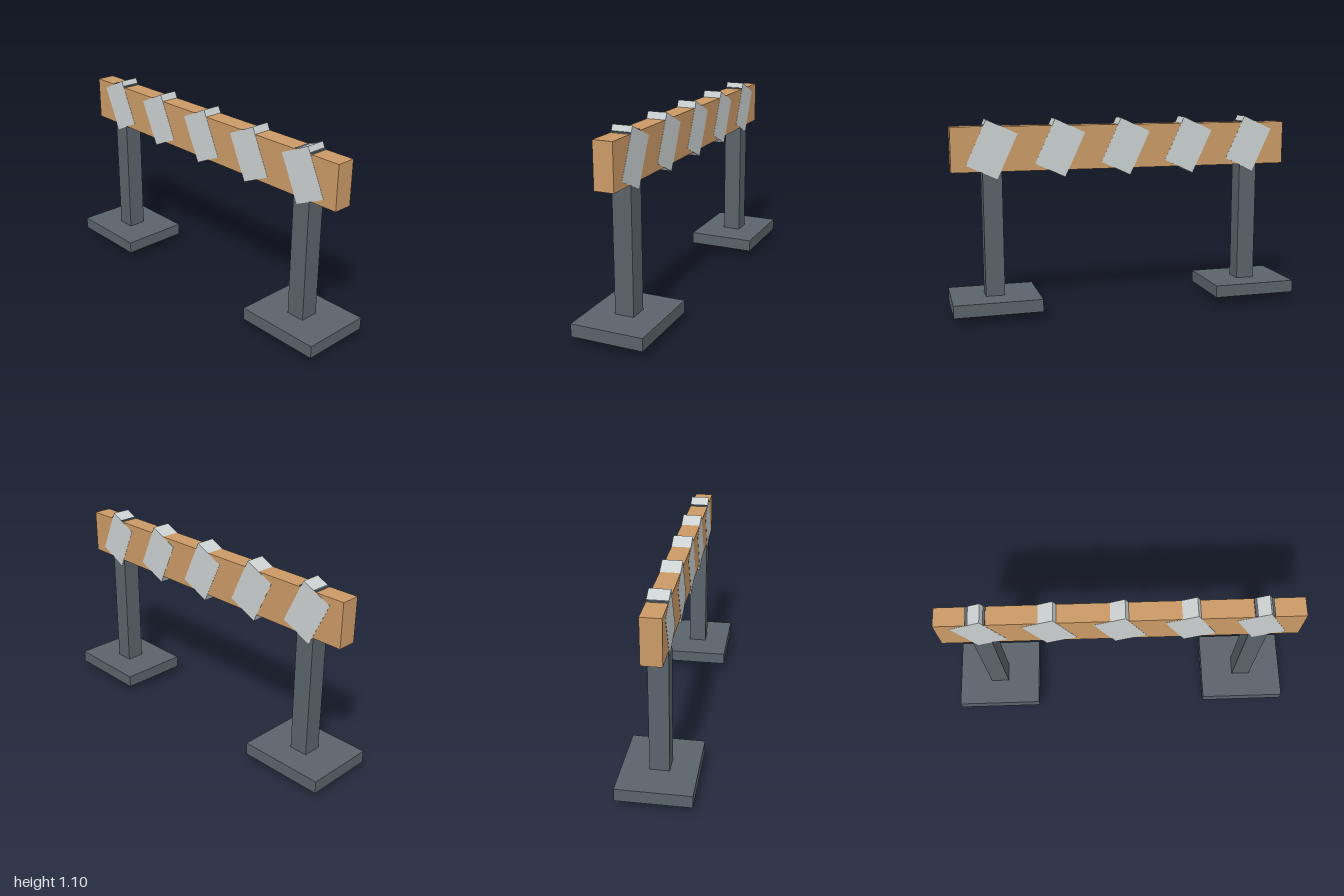
import * as THREE from 'three';

const wood = new THREE.MeshStandardMaterial({ name: 'wood', color: 0xcb9a66 });
const paint = new THREE.MeshStandardMaterial({ name: 'pale grey paint', color: 0xcbd0d0 });
const metal = new THREE.MeshStandardMaterial({ name: 'dark metal', color: 0x59636a });

function box(name, size, position, material) {
  const mesh = new THREE.Mesh(new THREE.BoxGeometry(...size), material);
  mesh.name = name;
  mesh.position.set(...position);
  return mesh;
}

export function createModel() {
  const model = new THREE.Group();
  model.name = 'barrier';

  // Posts pass through their foot plates down to the ground
  for (const [side, s] of [['left', 1], ['right', -1]]) {
    model.add(
      box(`${side}Post`, [0.106, 1.067, 0.106], [s * 0.756, 0.5335, 0], metal),
      box(`${side}Foot`, [0.488, 0.07, 0.4], [s * 0.756, 0.082, 0], metal),
    );
  }

  // Horizontal plank
  model.add(box('plank', [1.954, 0.247, 0.107], [0, 0.936, 0], wood));

  // Slanted stripes wrapping the plank
  for (let i = -2; i <= 2; i++) {
    const stripe = box(`stripe${i + 3}`, [0.187, 0.272, 0.109], [i * 0.378, 0.934, 0], paint);
    stripe.rotation.z = THREE.MathUtils.degToRad(25);
    model.add(stripe);
  }

  return model;
}
